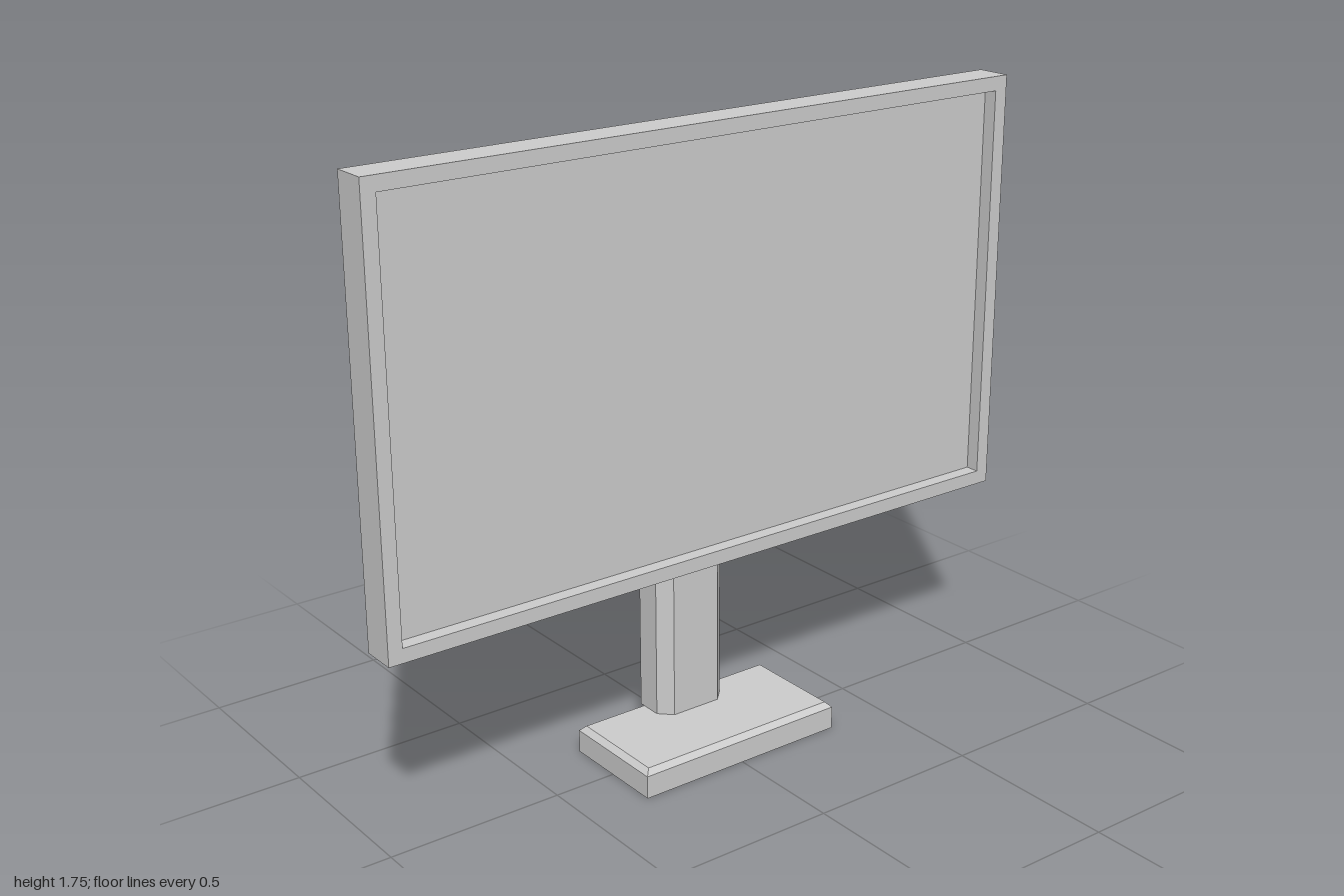
import * as THREE from 'three';

const material = new THREE.MeshStandardMaterial({ color: 0xcccccc, flatShading: true });

// Closed solid through rectangles [halfWidth, halfHeight, z], capped at both ends
function loftRectangles(rings) {
  const positions = [];
  const corners = rings.map(([w, h, z]) => [[-w, -h, z], [w, -h, z], [w, h, z], [-w, h, z]]);
  const quad = (a, b, c, d) => positions.push(...a, ...b, ...c, ...a, ...c, ...d);
  for (let r = 0; r < rings.length - 1; r++) {
    for (let i = 0; i < 4; i++) {
      const j = (i + 1) % 4;
      quad(corners[r][i], corners[r][j], corners[r + 1][j], corners[r + 1][i]);
    }
  }
  const first = corners[0], last = corners[rings.length - 1];
  quad(first[3], first[2], first[1], first[0]);
  quad(...last);
  const geometry = new THREE.BufferGeometry();
  geometry.setAttribute('position', new THREE.Float32BufferAttribute(positions, 3));
  geometry.computeVertexNormals();
  return geometry;
}

export function createModel() {
  const model = new THREE.Group();
  model.name = 'monitor';
  const add = (name, geometry, y) => {
    const mesh = new THREE.Mesh(geometry, material);
    mesh.name = name;
    mesh.position.y = y;
    model.add(mesh);
  };

  // Screen housing: flat back, thin bezel, recessed display
  add('screen', loftRectangles([
    [1, 0.6, -0.05], [1, 0.6, 0.05], [0.96, 0.56, 0.05], [0.96, 0.56, 0.01],
  ]), 1.15);

  // Column with chamfered front corners, behind the screen
  const section = new THREE.Shape([
    [-0.11, 0.16], [-0.11, 0.085], [-0.075, 0.05],
    [0.075, 0.05], [0.11, 0.085], [0.11, 0.16],
  ].map(([x, y]) => new THREE.Vector2(x, y)));
  const column = new THREE.ExtrudeGeometry(section, { depth: 1.63, bevelEnabled: false });
  add('column', column.rotateX(-Math.PI / 2), 0.08);

  // Foot plate with chamfered top edge
  const base = loftRectangles([[0.32, 0.16, 0], [0.32, 0.16, 0.065], [0.305, 0.145, 0.08]]);
  add('base', base.rotateX(-Math.PI / 2), 0);

  return model;
}
